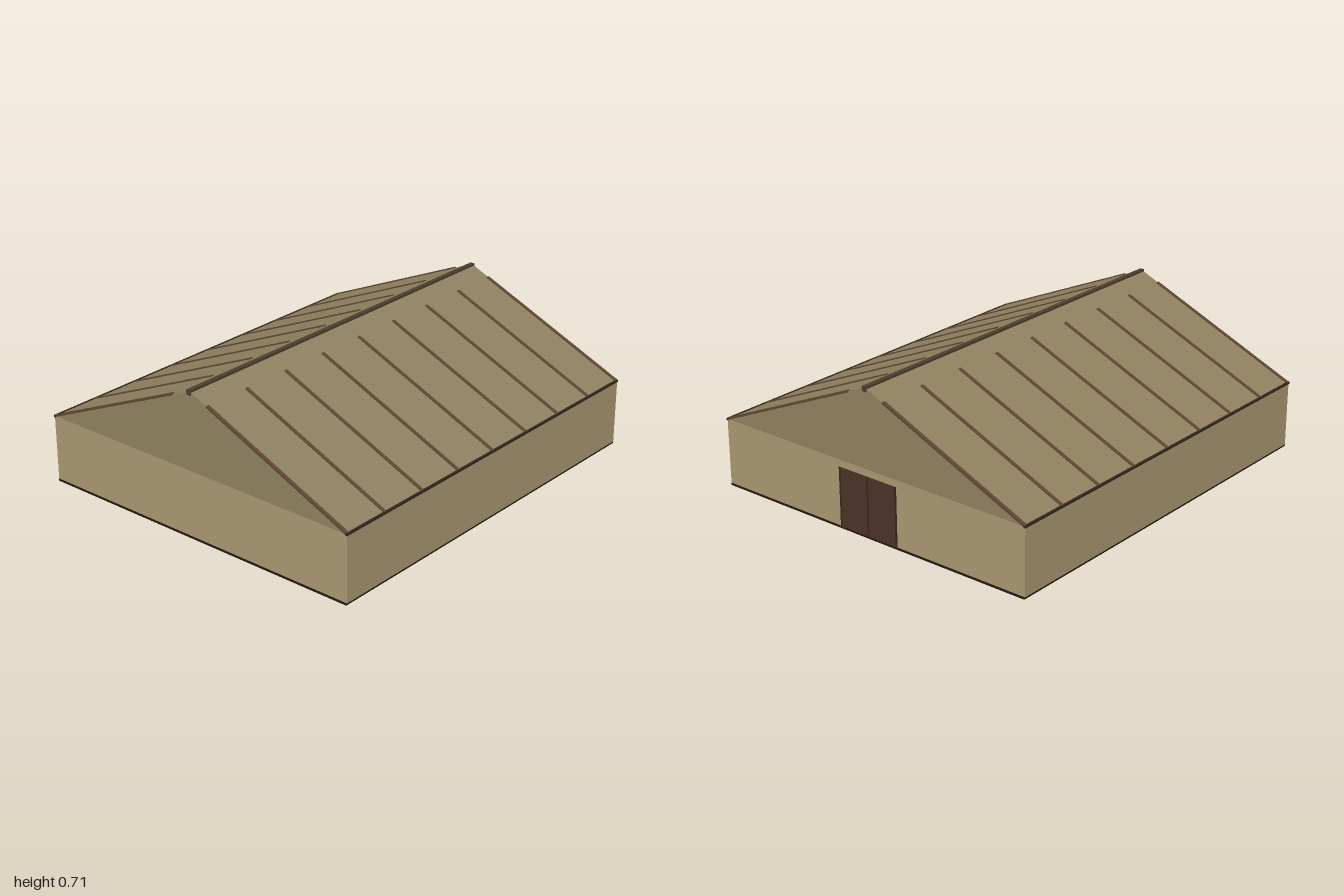
import * as THREE from 'three';

const WALL_H = 0.33, RIDGE_Y = 0.71, HALF_W = 0.872, HALF_L = 0.996;

const paint = (color) => new THREE.MeshStandardMaterial({ color, flatShading: true });
const canvas = paint(0xa89772);
const roofCanvas = paint(0x8f8060);
const ribBrown = paint(0x5e4733);
const darkTrim = paint(0x33281b);
const ridgeTrim = paint(0x4a3e2c);
const doorBrown = paint(0x4a3226);
const groundDark = paint(0x241b10);

export function createModel() {
  const group = new THREE.Group();

  function box(name, mat, w, h, d, x, y, z, parent = group) {
    const mesh = new THREE.Mesh(new THREE.BoxGeometry(w, h, d), mat);
    mesh.name = name;
    mesh.position.set(x, y, z);
    parent.add(mesh);
    return mesh;
  }

  // Ground sheet and canvas walls
  box('groundSheet', groundDark, 1.74, 0.01, 1.998, 0, 0.005, 0);
  box('walls', canvas, 2 * HALF_W, WALL_H - 0.01, 2 * HALF_L, 0, 0.01 + (WALL_H - 0.01) / 2, 0);

  // Gabled roof as one prism, front and back gables included
  const gable = new THREE.Shape([
    new THREE.Vector2(-HALF_W, WALL_H),
    new THREE.Vector2(HALF_W, WALL_H),
    new THREE.Vector2(0, RIDGE_Y),
  ]);
  const roofGeo = new THREE.ExtrudeGeometry(gable, { depth: 2 * HALF_L, bevelEnabled: false });
  roofGeo.translate(0, 0, -HALF_L);
  const roof = new THREE.Mesh(roofGeo, roofCanvas);
  roof.name = 'roof';
  group.add(roof);

  // Ridge pole
  box('ridgePole', ridgeTrim, 0.024, 0.024, 2, 0, 0.703, 0);

  // Eave cords and sloping seam ribs, mirrored on both sides
  const slope = Math.atan2(RIDGE_Y - WALL_H, HALF_W);
  const x0 = 0.1, x1 = 0.868;
  const midX = (x0 + x1) / 2;
  const midY = RIDGE_Y - midX * Math.tan(slope);
  const ribLength = (x1 - x0) / Math.cos(slope);
  for (const side of [-1, 1]) {
    const name = side > 0 ? 'left' : 'right';
    box(name + 'EaveCord', darkTrim, 0.01, 0.01, 2, side * 0.87, WALL_H, 0);
    for (let i = -4; i <= 4; i++) {
      const z = THREE.MathUtils.clamp(i * 0.25, -0.99, 0.99);
      const rib = box(name + 'RoofRib', ribBrown, ribLength, 0.01, 0.016, side * midX, midY, z);
      rib.rotation.z = -side * slope;
    }
  }

  // Double door in the back wall
  const door = new THREE.Group();
  door.name = 'backDoor';
  group.add(door);
  const doorH = 0.29;
  for (const side of [-1, 1]) {
    box('doorPanel', doorBrown, 0.156, doorH, 0.006, side * 0.082, doorH / 2 + 0.006, -0.996, door);
    box('doorPost', darkTrim, 0.008, doorH, 0.008, side * 0.163, doorH / 2 + 0.006, -0.996, door);
  }
  box('doorSeam', darkTrim, 0.008, doorH, 0.008, 0, doorH / 2 + 0.006, -0.996, door);

  return group;
}
